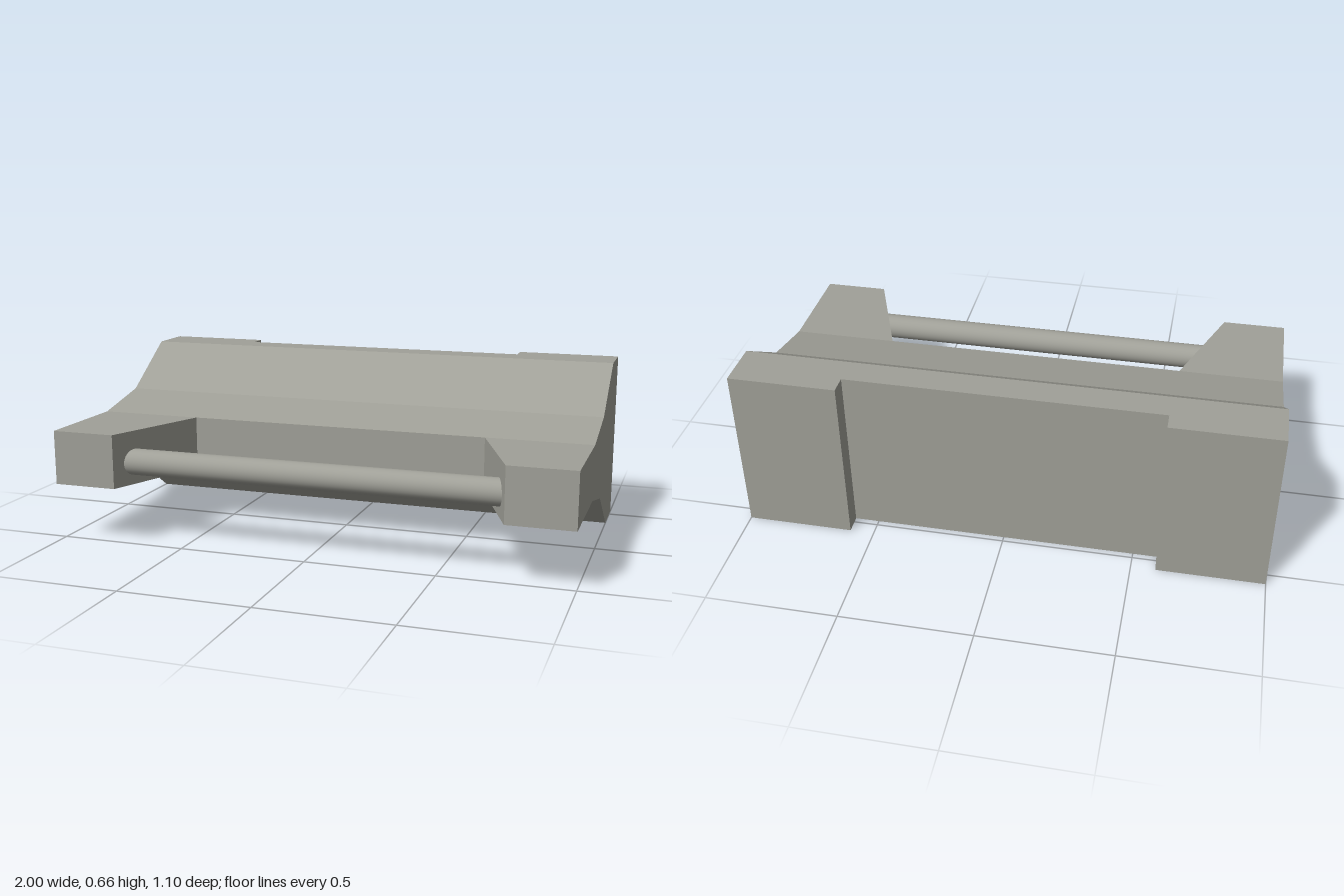
import * as THREE from 'three';

export function createModel() {
  const group = new THREE.Group();
  const grey = new THREE.MeshStandardMaterial({ color: 0xa0a098 });
  grey.name = 'warm grey';

  const add = (name, geometry) => {
    const mesh = new THREE.Mesh(geometry, grey);
    mesh.name = name;
    group.add(mesh);
    return mesh;
  };
  const extrude = (points, depth) => new THREE.ExtrudeGeometry(
    new THREE.Shape(points.map(([x, y]) => new THREE.Vector2(x, y))),
    { depth, bevelEnabled: false });

  const height = 0.663, low = 0.227, high = 0.437;   // arm underside and top
  const back = -0.55, recess = -0.478, root = 0.143, front = 0.55;
  const padX = 0.593;

  // Flared body: (z, y) half profile mirrored about mid height, swept across x
  const upper = [[recess, height], [-0.364, height], [-0.108, 0.492], [root, high]];
  const lower = upper.map(([z, y]) => [z, height - y]).reverse();
  const body = extrude([...upper, ...lower], 2);
  body.rotateY(-Math.PI / 2).translate(1, 0, 0);
  add('flaredBody', body);

  for (const [side, s] of [['left', 1], ['right', -1]]) {
    // Rear pad standing proud of the recessed back
    const pad = add(side + 'RearPad', new THREE.BoxGeometry(1 - padX, height, recess - back));
    pad.position.set(s * (1 + padX) / 2, height / 2, (back + recess) / 2);

    // Forward arm, tapered on its inner side
    const arm = extrude(
      [[padX, root], [1, root], [1, front], [0.75, front]].map(([x, z]) => [s * x, -z]),
      high - low);
    arm.rotateX(-Math.PI / 2).translate(0, low, 0);
    add(side + 'Arm', arm);
  }

  // Round bar between the arms
  const bar = add('crossBar', new THREE.CylinderGeometry(0.051, 0.051, 1.47, 32));
  bar.rotation.z = Math.PI / 2;
  bar.position.set(0, 0.315, 0.449);

  return group;
}
